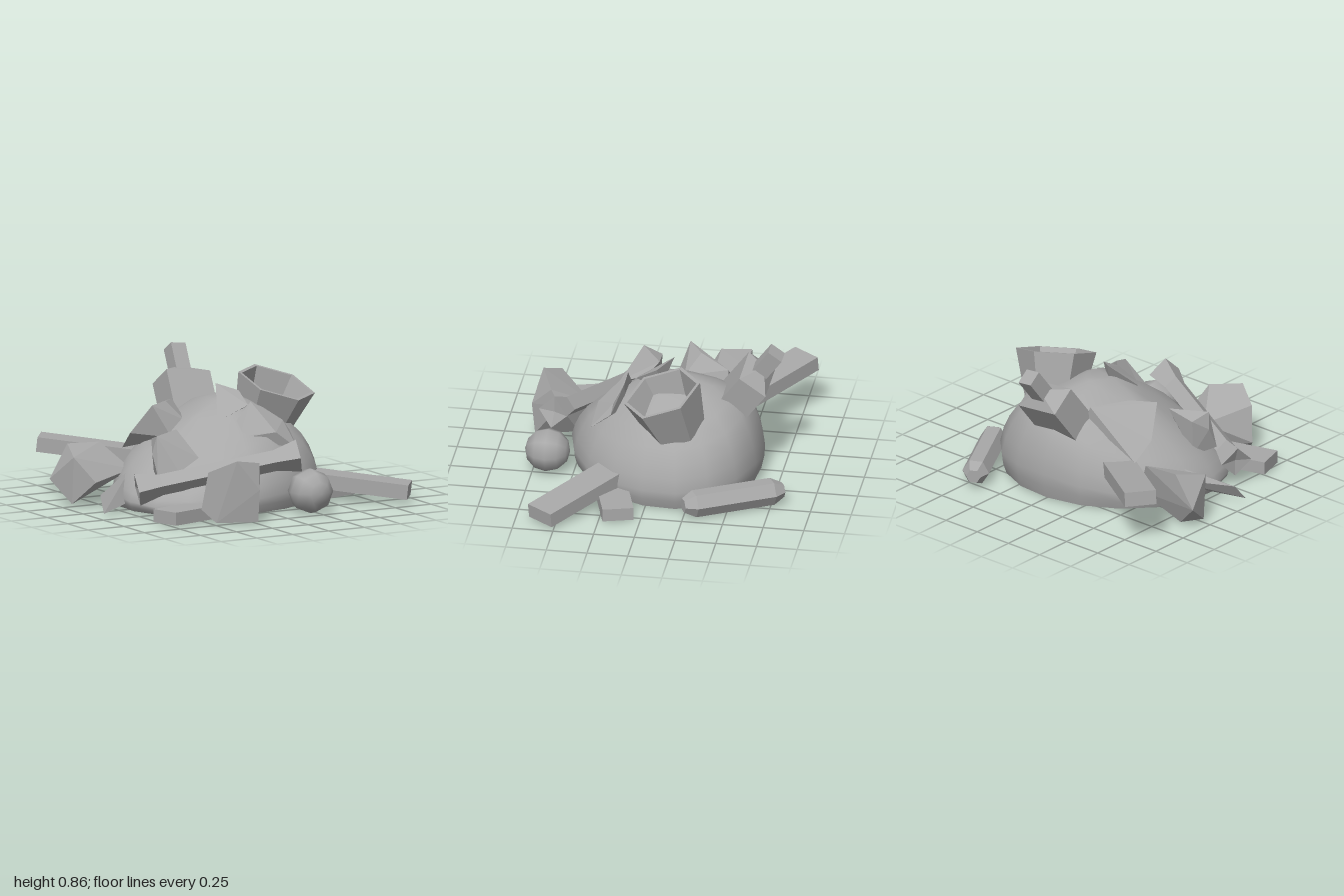
import * as THREE from 'three';
import { mergeVertices } from 'three/addons/utils/BufferGeometryUtils.js';
import { ConvexGeometry } from 'three/addons/geometries/ConvexGeometry.js';

const UP = new THREE.Vector3(0, 1, 0);
const v = (p) => new THREE.Vector3(...p);

export function createModel() {
  const model = new THREE.Group();
  const grey = new THREE.MeshStandardMaterial({ color: 0xa8a8a8, side: THREE.DoubleSide });
  grey.name = 'grey';

  function add(name, geometry, position = [0, 0, 0], axis = null) {
    const mesh = new THREE.Mesh(geometry, grey);
    mesh.name = name;
    mesh.position.set(...position);
    if (axis) mesh.quaternion.setFromUnitVectors(UP, v(axis).normalize());
    model.add(mesh);
  }

  // Faceted turned solid from [radius, height] pairs
  function facetedLathe(profile, sides, start = 0) {
    const g = new THREE.LatheGeometry(profile.map(([r, y]) => new THREE.Vector2(r, y)), sides, start).toNonIndexed();
    g.computeVertexNormals();
    return g;
  }

  // Straight board between two end centres
  function board(name, a, b, width, thickness) {
    const from = v(a), to = v(b);
    const mesh = new THREE.Mesh(new THREE.BoxGeometry(width, thickness, from.distanceTo(to)), grey);
    mesh.name = name;
    mesh.position.copy(from).lerp(to, 0.5);
    mesh.lookAt(to);
    model.add(mesh);
  }

  const rock = (name, points) => add(name, new ConvexGeometry(points.map(v)));

  // Heap: open-bottomed smooth mound, skewed in plan and lower at its sides and front
  const moundProfile = [[0.96, 0], [0.99, 0.08], [1, 0.16], [0.97, 0.27], [0.92, 0.37], [0.84, 0.46],
    [0.7, 0.535], [0.5, 0.585], [0.25, 0.62], [0, 0.63]];
  const lathe = new THREE.LatheGeometry(moundProfile.map(([r, y]) => new THREE.Vector2(r, y)), 18);
  lathe.deleteAttribute('uv');
  lathe.deleteAttribute('normal');
  const mound = mergeVertices(lathe, 0.001);
  const pos = mound.attributes.position;
  for (let i = 0; i < pos.count; i++) {
    const ex = pos.getX(i) * 0.69, ez = pos.getZ(i) * 0.6;
    const x = ex - 0.07 * ez - 0.05;
    const z = ez - 0.07 * ex - 0.04;
    const squash = 1 - 0.75 * Math.max(0, -x) - 0.5 * Math.max(0, x - 0.1) - 0.65 * Math.max(0, z);
    pos.setXYZ(i, x, pos.getY(i) * squash, z);
  }
  mound.computeVertexNormals();
  add('mound', mound);

  // Boards running right through the heap
  board('longBoard', [0.94, 0.06, 0.59], [-0.88, 0.31, -0.755], 0.195, 0.09);
  board('lowBoard', [0.815, 0.04, 0.13], [-0.765, 0.04, 0.585], 0.19, 0.08);

  // Bone with flared ends
  const boneStart = v([-0.77, 0.16, 0.26]), boneEnd = v([0.14, 0.35, 0.64]);
  const boneAxis = boneEnd.clone().sub(boneStart);
  const half = boneAxis.length() / 2;
  add('bone', facetedLathe([[0, -half + 0.02], [0.1, -half], [0.065, -half + 0.15], [0.065, half - 0.15],
    [0.1, half], [0, half - 0.02]], 4, 1.17),
  boneStart.clone().lerp(boneEnd, 0.5).toArray(), boneAxis.toArray());

  // Open six-sided bucket
  add('bucket', facetedLathe([[0, -0.29], [0.175, -0.29], [0.245, 0], [0.222, 0], [0.155, -0.27], [0, -0.27]], 6, 0.12),
    [0.39, 0.67, -0.07], [0.2, 1, 0.32]);

  // Square bottle: body, sloping shoulder and neck share a tilted axis
  const bottle = new THREE.Group();
  bottle.name = 'bottle';
  bottle.position.set(0.025, 0.653, -0.596);
  bottle.quaternion.setFromUnitVectors(UP, v([0.11, 0.8, -0.58]).normalize());
  const shoulder = new THREE.CylinderGeometry(0.34 * Math.SQRT1_2, Math.SQRT1_2, 0.05, 4, 1, true, Math.PI / 4).toNonIndexed();
  shoulder.scale(0.3, 1, 0.195);
  shoulder.computeVertexNormals();
  for (const [name, geometry, y] of [
    ['bottleBody', new THREE.BoxGeometry(0.3, 0.32, 0.195), -0.16],
    ['bottleShoulder', shoulder, 0.025],
    ['bottleNeck', new THREE.BoxGeometry(0.1, 0.21, 0.1), 0.105]]) {
    const part = new THREE.Mesh(geometry, grey);
    part.name = name;
    part.position.y = y;
    bottle.add(part);
  }
  model.add(bottle);

  // Six-sided canister with tapered ends
  add('canister', facetedLathe([[0, -0.32], [0.045, -0.32], [0.083, -0.25], [0.083, 0.25], [0.045, 0.32], [0, 0.32]], 6),
    [0.56, 0.082, -0.535], [0.27, 0, 0.5]);

  // Smooth low ball
  const ball = new THREE.SphereGeometry(0.138, 8, 6);
  ball.rotateX(Math.PI / 2);
  add('ball', ball, [0.21, 0.13, 0.66]);

  // Angular stones
  rock('frontStone', [[-0.55, 0.08, 0.66], [-0.52, 0.31, 0.69], [-0.37, 0.38, 0.78], [-0.17, 0.34, 0.7], [-0.24, 0, 0.81],
    [-0.48, 0, 0.72], [-0.32, 0.2, 0.48], [-0.13, 0.25, 0.64], [-0.24, 0.2, 0.83], [-0.3, 0, 0.55]]);
  rock('sideStone', [[-1, 0.145, -0.41], [-0.87, 0.35, -0.42], [-0.64, 0.34, -0.43], [-0.94, 0.3, -0.22], [-0.55, 0.13, -0.38],
    [-0.55, 0.2, -0.2], [-0.84, 0.15, -0.125], [-0.94, 0.01, -0.24], [-0.85, 0, -0.35]]);
  rock('splinter', [[-0.94, 0.01, 0.15], [-0.92, 0.11, 0.07], [-0.55, 0.15, -0.2], [-0.62, 0.05, -0.02], [-0.6, 0.22, -0.12]]);
  rock('upperStone', [[-0.455, 0.595, -0.11], [-0.16, 0.57, -0.39], [-0.51, 0.3, -0.38], [-0.53, 0.41, -0.25], [-0.31, 0.595, -0.2],
    [-0.22, 0.48, -0.11], [-0.36, 0.4, -0.04], [-0.13, 0.48, -0.39]]);
  rock('middleStone', [[-0.6, 0.465, 0.2], [-0.39, 0.47, 0.07], [-0.57, 0.43, 0.08], [-0.35, 0.38, 0.15], [-0.37, 0.33, 0.31],
    [-0.5, 0.25, 0.3], [-0.62, 0.22, 0.25], [-0.56, 0.2, 0.1], [-0.62, 0.36, 0.18]]);
  rock('topStone', [[-0.12, 0.53, 0.1], [-0.03, 0.7, -0.08], [0.08, 0.66, 0.01], [0.07, 0.59, 0.14], [-0.08, 0.53, 0.14],
    [0.02, 0.5, 0]]);
  rock('crownStone', [[-0.07, 0.42, 0.28], [-0.06, 0.48, 0.18], [0.06, 0.62, 0.19], [0.14, 0.58, 0.2], [0.25, 0.5, 0.25],
    [0.29, 0.44, 0.26], [0.28, 0.34, 0.385], [0.14, 0.45, 0.36], [0.02, 0.44, 0.31], [0.1, 0.4, 0.2]]);

  return model;
}
